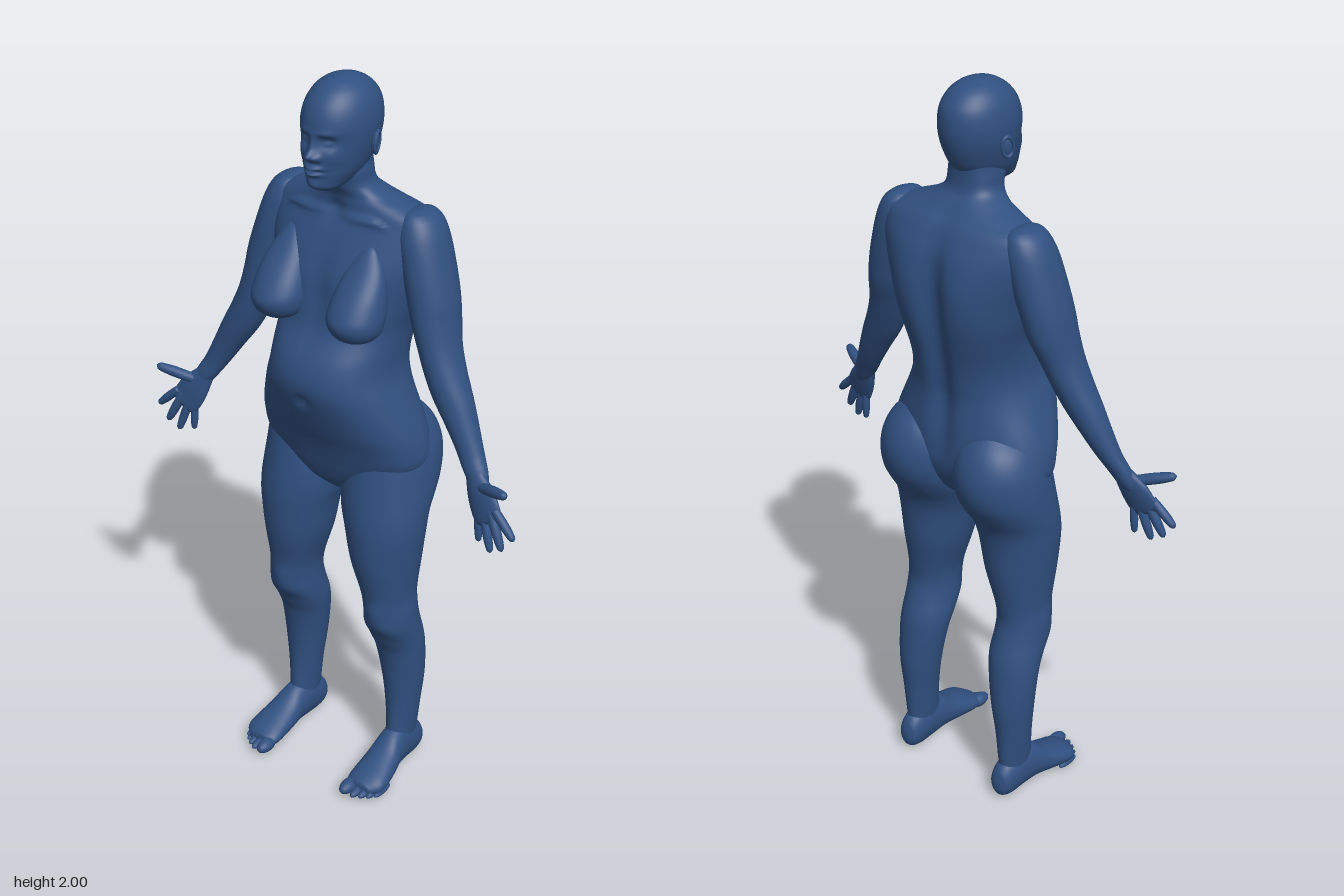
import * as THREE from 'three';

const skin = new THREE.MeshStandardMaterial({ color: 0x305080 });
skin.name = 'slate blue';

// Smooth interpolation of row values at fraction f between rows i and i + 1
function blend(rows, i, f) {
  const at = k => rows[Math.min(Math.max(k, 0), rows.length - 1)];
  const slope = (k, c) => {
    const a = at(k - 1), b = at(k + 1);
    return (b[c] - a[c]) / (b[0] - a[0]);
  };
  const p = at(i), q = at(i + 1), h = q[0] - p[0], g = f * f, e = g * f;
  return p.map((v, c) => c === 0 ? v + h * f
    : (2 * e - 3 * g + 1) * v + (e - 2 * g + f) * h * slope(i, c)
      + (3 * g - 2 * e) * q[c] + (e - g) * h * slope(i + 1, c));
}

// Closed skin over oval sections; each row is [t, u0, u1, v0, v1]
function loft(rows, place, { seg = 40, steps = 5, power = 2, shape = null } = {}) {
  const pos = [], index = [];
  const add = (t, u, v) => {
    const p = place(t, u, v);
    if (shape) shape(p);
    pos.push(p.x, p.y, p.z);
  };
  const count = (rows.length - 1) * steps + 1;
  const round = n => Math.sign(n) * Math.abs(n) ** (2 / power);
  for (let k = 0; k < count; k++) {
    const i = Math.min(Math.floor(k / steps), rows.length - 2);
    const [t, u0, u1, v0, v1] = blend(rows, i, k / steps - i);
    for (let j = 0; j < seg; j++) {
      const a = j / seg * Math.PI * 2;
      add(t, (u0 + u1) / 2 + (u1 - u0) / 2 * round(Math.cos(a)),
        (v0 + v1) / 2 + (v1 - v0) / 2 * round(Math.sin(a)));
    }
  }
  for (const r of [rows[0], rows[rows.length - 1]]) add(r[0], (r[1] + r[2]) / 2, (r[3] + r[4]) / 2);
  const first = count * seg, last = first + 1, end = (count - 1) * seg;
  for (let j = 0; j < seg; j++) {
    const n = (j + 1) % seg;
    for (let k = 0; k < count - 1; k++) {
      const a = k * seg + j, b = k * seg + n;
      index.push(a, a + seg, b, b, a + seg, b + seg);
    }
    index.push(first, j, n, last, end + n, end + j);
  }
  // Turn every face outward, whichever way the part is placed
  const P = i => new THREE.Vector3().fromArray(pos, i * 3);
  let volume = 0;
  for (let i = 0; i < index.length; i += 3) volume += P(index[i]).dot(P(index[i + 1]).cross(P(index[i + 2])));
  if (volume < 0) index.reverse();
  const geo = new THREE.BufferGeometry();
  geo.setAttribute('position', new THREE.Float32BufferAttribute(pos, 3));
  geo.setIndex(index);
  geo.computeVertexNormals();
  return geo;
}

const upright = s => (t, u, v) => new THREE.Vector3(s * u, t, v);
const forward = s => (t, u, v) => new THREE.Vector3(s * u, v, t);

// Straight frame between two points, its flat side facing +z
function along(s, a, b) {
  const start = new THREE.Vector3(...a), axis = new THREE.Vector3(...b).sub(start);
  const side = new THREE.Vector3(0, 0, 1).cross(axis).normalize();
  const face = axis.clone().cross(side).normalize();
  return (t, u, v) => {
    const p = start.clone().addScaledVector(axis, t).addScaledVector(side, u).addScaledVector(face, v);
    p.x *= s;
    return p;
  };
}

// Soft bumps [x, y, amount, widthX, widthY] pushed along z on the front or back
const bumps = (list, front) => p => {
  if (front ? p.z <= 0.02 : p.z >= -0.02) return;
  let dz = 0;
  for (const [x, y, amount, rx, ry] of list) {
    dz += amount * Math.exp(-(((p.x - x) / rx) ** 2) - ((p.y - y) / ry) ** 2);
  }
  p.z += dz;
};
const pair = (x, ...rest) => [[x, ...rest], [-x, ...rest]];

// Rows with mirrored width: [y, half width, back z, front z]
const wide = rows => rows.map(([y, w, b, f]) => [y, -w, w, b, f]);

const torsoRows = wide([
  [0.875, 0.03, -0.05, 0.03], [0.91, 0.11, -0.1, 0.065], [0.95, 0.2, -0.13, 0.083],
  [1.0, 0.24, -0.15, 0.098], [1.05, 0.242, -0.155, 0.115], [1.1, 0.23, -0.155, 0.137],
  [1.2, 0.19, -0.15, 0.174], [1.25, 0.173, -0.156, 0.179], [1.3, 0.17, -0.165, 0.164],
  [1.37, 0.178, -0.18, 0.122], [1.43, 0.195, -0.188, 0.11], [1.5, 0.212, -0.19, 0.1],
  [1.55, 0.225, -0.186, 0.083], [1.6, 0.232, -0.176, 0.06], [1.64, 0.232, -0.158, 0.04],
  [1.665, 0.22, -0.142, 0.03], [1.685, 0.17, -0.122, 0.028], [1.705, 0.115, -0.104, 0.03],
  [1.73, 0.077, -0.084, 0.042], [1.77, 0.068, -0.078, 0.055], [1.82, 0.062, -0.08, 0.06]]);
const headRows = wide([
  [1.733, 0.026, 0.03, 0.092], [1.745, 0.042, 0.0, 0.112], [1.76, 0.054, -0.045, 0.117],
  [1.785, 0.068, -0.078, 0.119], [1.82, 0.079, -0.099, 0.118], [1.86, 0.088, -0.112, 0.116],
  [1.9, 0.09, -0.116, 0.116], [1.94, 0.082, -0.109, 0.103], [1.97, 0.065, -0.086, 0.078],
  [1.988, 0.043, -0.058, 0.05], [1.997, 0.02, -0.028, 0.024], [2.0, 0.004, -0.006, 0.004]]);
const breastRows = [
  [1.6, 0.1, 0.13, 0.03, 0.05], [1.55, 0.07, 0.165, 0.02, 0.092], [1.5, 0.054, 0.182, 0.02, 0.136],
  [1.46, 0.045, 0.189, 0.02, 0.164], [1.43, 0.045, 0.19, 0.03, 0.176], [1.4, 0.054, 0.182, 0.04, 0.166],
  [1.382, 0.075, 0.162, 0.06, 0.145], [1.373, 0.1, 0.135, 0.08, 0.115]];
const armRows = [
  [1.687, 0.185, 0.205, -0.075, -0.035], [1.68, 0.165, 0.225, -0.1, -0.012], [1.66, 0.15, 0.247, -0.117, 0.005],
  [1.62, 0.15, 0.267, -0.125, 0.02], [1.55, 0.165, 0.29, -0.123, 0.03], [1.48, 0.185, 0.31, -0.115, 0.035],
  [1.42, 0.203, 0.321, -0.105, 0.038], [1.36, 0.228, 0.335, -0.085, 0.04], [1.3, 0.252, 0.36, -0.068, 0.042],
  [1.24, 0.282, 0.39, -0.052, 0.043], [1.18, 0.325, 0.416, -0.035, 0.043], [1.12, 0.367, 0.443, -0.015, 0.045],
  [1.08, 0.395, 0.465, 0.002, 0.052], [1.05, 0.418, 0.474, 0.014, 0.054], [1.03, 0.435, 0.475, 0.025, 0.053]];
const legRows = [
  [1.13, 0.07, 0.17, -0.12, 0.02], [1.09, 0.03, 0.215, -0.162, 0.05], [1.04, 0.01, 0.24, -0.186, 0.068],
  [0.99, 0.003, 0.249, -0.191, 0.078], [0.94, 0.002, 0.252, -0.18, 0.088], [0.9, 0.004, 0.253, -0.157, 0.095],
  [0.85, 0.015, 0.252, -0.124, 0.102], [0.8, 0.03, 0.249, -0.111, 0.105], [0.7, 0.052, 0.237, -0.102, 0.1],
  [0.6, 0.083, 0.226, -0.085, 0.081], [0.55, 0.089, 0.23, -0.081, 0.074], [0.5, 0.088, 0.231, -0.093, 0.071],
  [0.45, 0.087, 0.231, -0.108, 0.043], [0.4, 0.093, 0.231, -0.115, 0.02], [0.3, 0.11, 0.225, -0.12, 0.005],
  [0.2, 0.125, 0.215, -0.111, 0.0], [0.12, 0.133, 0.207, -0.106, 0.004], [0.05, 0.14, 0.2, -0.1, 0.01]];
const footRows = [
  [-0.127, 0.158, 0.182, 0.03, 0.06], [-0.118, 0.143, 0.197, 0.012, 0.09], [-0.09, 0.134, 0.206, 0.001, 0.115],
  [-0.04, 0.131, 0.21, 0.002, 0.135], [0.01, 0.13, 0.216, 0.006, 0.122], [0.05, 0.127, 0.226, 0.006, 0.095],
  [0.1, 0.125, 0.235, 0.002, 0.073], [0.135, 0.126, 0.234, 0.002, 0.058], [0.16, 0.135, 0.21, 0.008, 0.043]];
const palmRows = [
  [-0.15, -0.022, 0.022, -0.013, 0.013], [0.1, -0.03, 0.03, -0.017, 0.017], [0.45, -0.04, 0.042, -0.017, 0.018],
  [0.8, -0.045, 0.045, -0.014, 0.014], [1.05, -0.041, 0.041, -0.011, 0.011], [1.13, -0.03, 0.03, -0.006, 0.006]];
// Rounded digit of radius r, slightly swollen at the joint
const digit = r => [[-0.3, 0.9], [0, 1], [0.45, 1.03], [0.8, 0.85], [0.93, 0.65], [1, 0.15]]
  .map(([t, k]) => [t, -r * k, r * k, -r * k, r * k]);

export function createModel() {
  const model = new THREE.Group();
  model.name = 'standing figure';
  const add = (name, geo) => {
    const mesh = new THREE.Mesh(geo, skin);
    mesh.name = name;
    model.add(mesh);
    return mesh;
  };

  // Torso with navel, collar hollow and spine groove
  const belly = bumps([[0, 1.19, -0.014, 0.014, 0.014], [0, 1.66, -0.012, 0.025, 0.025],
    ...pair(0.1, 1.655, 0.008, 0.07, 0.012), [0, 1.47, -0.01, 0.03, 0.1]], true);
  const back = bumps([[0, 1.42, 0.03, 0.035, 0.2], [0, 1.15, 0.012, 0.03, 0.12],
    ...pair(0.095, 1.5, -0.012, 0.06, 0.12)], false);
  add('torso', loft(torsoRows, upright(1), { seg: 112, steps: 8, power: 2.25, shape: p => { belly(p); back(p); } }));

  // Head with sockets, eyelids, nose, cheeks, lips and chin
  const face = bumps([...pair(0.034, 1.862, -0.016, 0.018, 0.014), ...pair(0.034, 1.86, 0.008, 0.012, 0.007),
    ...pair(0.03, 1.885, 0.004, 0.022, 0.008), ...pair(0.045, 1.825, 0.005, 0.02, 0.02),
    [0, 1.85, 0.01, 0.01, 0.025], [0, 1.83, 0.021, 0.013, 0.012], ...pair(0.016, 1.825, 0.01, 0.008, 0.008),
    [0, 1.799, 0.014, 0.022, 0.006], [0, 1.784, 0.012, 0.02, 0.006], [0, 1.7915, -0.005, 0.025, 0.003],
    [0, 1.755, 0.006, 0.022, 0.012]], true);
  add('head', loft(headRows, upright(1), { seg: 128, steps: 12, shape: face }));

  for (const [s, side] of [[1, 'left'], [-1, 'right']]) {
    add(side + ' breast', loft(breastRows, upright(s), { seg: 48, steps: 6 }));
    add(side + ' arm', loft(armRows, upright(s), { seg: 48 }));

    // Leg with a kneecap and a hollow beneath it
    const knee = bumps([[s * 0.155, 0.55, 0.008, 0.035, 0.035], [s * 0.155, 0.475, -0.005, 0.04, 0.025]], true);
    add(side + ' leg', loft(legRows, upright(s), { seg: 64, steps: 6, shape: knee }));

    // Foot and toes, largest on the inside
    add(side + ' foot', loft(footRows, forward(s), { seg: 40 }));
    [[0.146, 0.2, 0.02], [0.174, 0.193, 0.013], [0.194, 0.182, 0.012], [0.211, 0.169, 0.011], [0.225, 0.153, 0.01]]
      .forEach(([x, z, r], i) => {
        const toe = new THREE.SphereGeometry(1, 16, 12).scale(r, r * 0.95, 0.036).translate(s * x, r + 0.004, z - 0.036);
        add(`${side} toe ${i + 1}`, toe);
      });

    // Hand with the palm facing forward and the thumb outward
    add(side + ' palm', loft(palmRows, along(s, [0.435, 1.07, 0.035], [0.493, 0.978, 0.058]), { seg: 32 }));
    [['index finger', [0.527, 0.995, 0.062], [0.577, 0.948, 0.07], 0.0115],
      ['middle finger', [0.508, 0.98, 0.06], [0.545, 0.907, 0.072], 0.012],
      ['ring finger', [0.484, 0.966, 0.058], [0.51, 0.888, 0.068], 0.0115],
      ['little finger', [0.462, 0.962, 0.054], [0.466, 0.898, 0.055], 0.01],
      ['thumb', [0.482, 1.056, 0.055], [0.56, 1.08, 0.09], 0.014]]
      .forEach(([name, a, b, r]) => add(`${side} ${name}`, loft(digit(r), along(s, a, b), { seg: 16 })));

    // Ear: a thin shell with a raised rim
    const shell = add(side + ' ear', new THREE.SphereGeometry(1, 20, 14).scale(0.008, 0.026, 0.015));
    const rim = add(side + ' ear rim', new THREE.TorusGeometry(0.02, 0.0045, 8, 28).rotateY(Math.PI / 2).scale(1, 1.3, 0.8));
    shell.position.set(s * 0.091, 1.845, -0.008);
    rim.position.set(s * 0.096, 1.847, -0.01);
    for (const part of [shell, rim]) part.rotation.set(-0.2, s * 0.3, 0);
  }
  return model;
}
